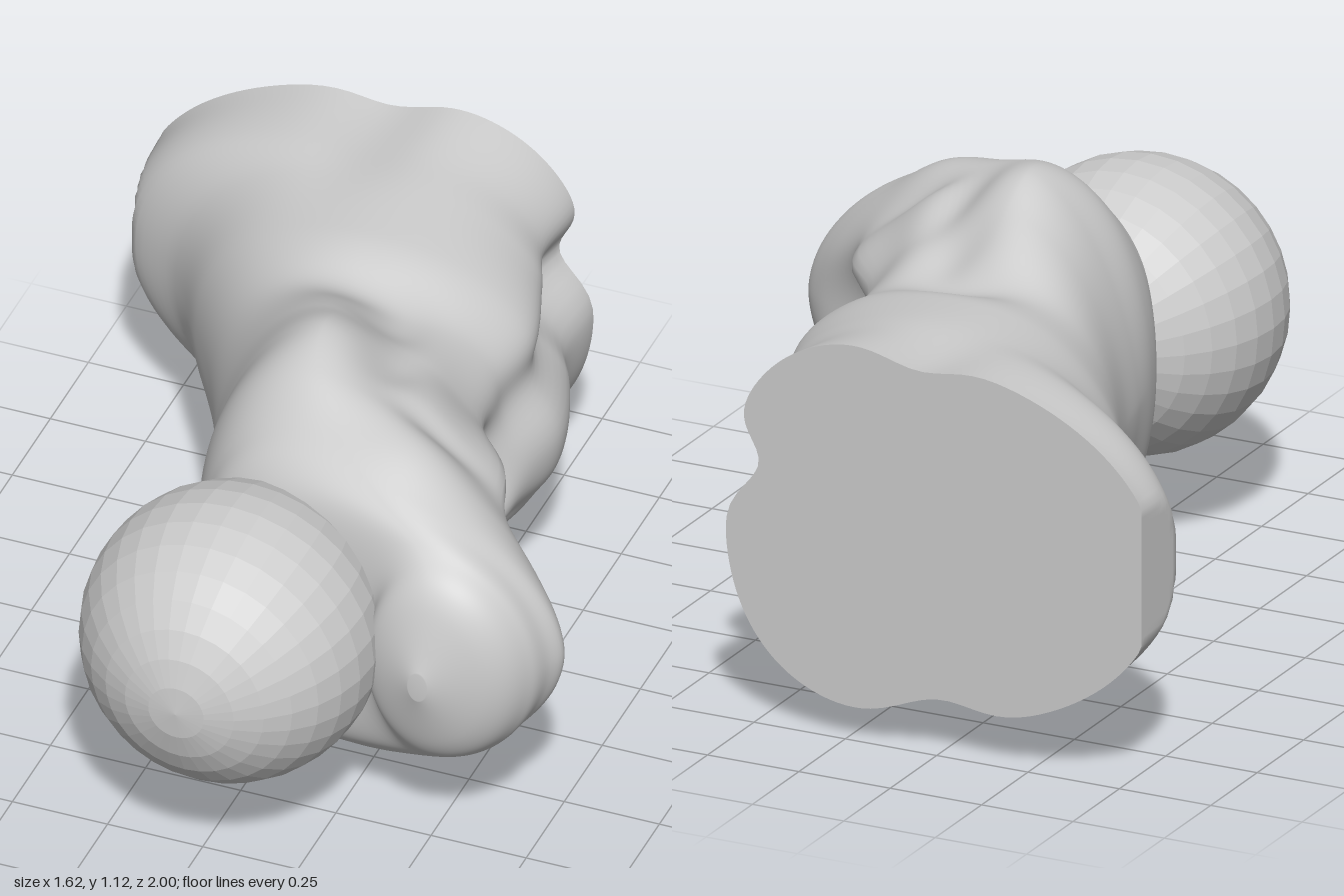
import * as THREE from 'three';

// Stations along the body: z, then left x, right x, ridge x, half height, left roundness, right roundness
const STATIONS = [
  [-1.0, -0.86, 0.33, -0.1, 0.48, 0.95, 0.85],
  [-0.82, -0.82, 0.33, -0.12, 0.46, 0.95, 0.85],
  [-0.7, -0.66, 0.39, -0.1, 0.45, 0.95, 0.9],
  [-0.5, -0.52, 0.45, -0.05, 0.43, 0.9, 0.9],
  [-0.3, -0.4, 0.42, 0.0, 0.42, 0.9, 0.95],
  [-0.1, -0.31, 0.44, 0.03, 0.51, 1.1, 1.1],
  [0.05, -0.27, 0.57, 0.04, 0.56, 1.2, 1.25],
  [0.2, -0.23, 0.64, 0.08, 0.53, 0.98, 1.15],
  [0.32, -0.18, 0.76, 0.18, 0.46, 0.85, 1.12],
  [0.4, -0.12, 0.81, 0.27, 0.41, 0.75, 1.1],
  [0.45, -0.01, 0.79, 0.36, 0.37, 0.72, 1.05],
  [0.51, 0.3, 0.77, 0.48, 0.31, 0.85, 1],
  [0.6, 0.38, 0.69, 0.53, 0.21, 1, 1],
  [0.655, 0.5, 0.55, 0.525, 0.04, 1, 1],
];
const MID = 0.56;

// Hollows and swellings: centre, radii, push, edge sharpness
const DENTS = [
  [[0.54, MID, 0.02], [0.4, 0.17, 0.27], [-0.2, 0, 0], 2],      // oval hollow under the head
  [[0.32, 0.68, -0.75], [0.25, 0.09, 0.5], [-0.11, 0, 0], 1],   // upper neck groove
  [[0.4, 0.33, -0.3], [0.2, 0.06, 0.2], [-0.03, 0, 0], 1],      // lower neck groove
  [[-0.2, 1.05, -1], [0.12, 0.3, 0.3], [0, -0.04, 0], 1],       // flutes on the neck
  [[-0.25, 0.08, -1], [0.14, 0.3, 0.35], [0, 0.06, 0], 1],
];
// Paired side features, mirrored about the centre height
for (const s of [1, -1]) {
  const y = (d) => MID + s * d;
  DENTS.push(
    [[0.02, y(0.42), -0.33], [0.15, 0.25, 0.09], [0, -0.04 * s, 0], 1],   // ear hollow
    [[0.12, y(0.45), -0.18], [0.1, 0.25, 0.13], [0, -0.06 * s, 0], 1],    // ear channel
    [[0.2, y(0.42), 0.03], [0.08, 0.25, 0.13], [0, -0.06 * s, 0], 1],     // ear slot
    [[0.36, y(0.36), 0.17], [0.12, 0.15, 0.05], [0, -0.03 * s, 0], 1],    // mouth corner
    [[0.47, y(0.24), 0.02], [0.15, 0.08, 0.22], [0.04, 0, 0], 1],         // jaw rim
    [[0.38, y(0.38), 0.3], [0.13, 0.12, 0.09], [0, 0.025 * s, 0], 1],     // lip
  );
}

const stationCurve = new THREE.CubicInterpolant(
  STATIONS.map((s) => s[0]), STATIONS.flatMap((s) => s.slice(1)), 6);
const power = (v, p) => Math.sign(v) * Math.abs(v) ** p;

function surfacePoint(z, angle) {
  const [x0, x1, ridge, h, leftRound, rightRound] = stationCurve.evaluate(z);
  const onRight = Math.cos(angle) > 0;
  const p = onRight ? rightRound : leftRound;
  const reach = onRight ? x1 - ridge : ridge - x0;
  const base = [ridge + power(Math.cos(angle), p) * reach, MID + h * power(Math.sin(angle), p), z];
  const out = new THREE.Vector3(...base);
  for (const [centre, radii, push, sharpness] of DENTS) {
    const d = base.reduce((sum, v, i) => sum + ((v - centre[i]) / radii[i]) ** 2, 0);
    out.addScaledVector(new THREE.Vector3(...push), Math.exp(-(d ** sharpness)));
  }
  // The shoulder side is cut flat
  out.x = THREE.MathUtils.clamp(out.x, -0.81, 0.81);
  return out;
}

function loftGeometry(rows, cols) {
  const pos = [], index = [];
  for (let i = 0; i <= rows; i++) {
    const z = -1 + 1.655 * (1 - (1 - i / rows) ** 1.5);
    for (let j = 0; j < cols; j++) pos.push(...surfacePoint(z, (j / cols) * Math.PI * 2).toArray());
  }
  for (let i = 0; i < rows; i++) {
    for (let j = 0; j < cols; j++) {
      const k = (j + 1) % cols;
      const a = i * cols + j, b = i * cols + k, c = a + cols, d = b + cols;
      index.push(a, b, c, b, d, c);
    }
  }
  // Close the muzzle tip
  const tip = pos.length / 3;
  pos.push(0.525, MID, 0.657);
  for (let j = 0; j < cols; j++) index.push(rows * cols + j, rows * cols + ((j + 1) % cols), tip);
  const g = new THREE.BufferGeometry();
  g.setAttribute('position', new THREE.Float32BufferAttribute(pos, 3));
  g.setIndex(index);
  g.computeVertexNormals();
  return g;
}

export function createModel() {
  const group = new THREE.Group();
  const add = (name, geometry, options = {}) => {
    const mesh = new THREE.Mesh(geometry, new THREE.MeshStandardMaterial({ color: 0xcccccc, ...options }));
    mesh.name = name;
    group.add(mesh);
    return mesh;
  };

  const cols = 140;
  add('headAndNeck', loftGeometry(130, cols));

  // Flat cut at the back of the neck
  const rim = Array.from({ length: cols }, (_, j) => {
    const p = surfacePoint(-1, (j / cols) * Math.PI * 2);
    return new THREE.Vector2(p.x, p.y);
  });
  const cut = add('neckCut', new THREE.ShapeGeometry(new THREE.Shape(rim)), { side: THREE.DoubleSide });
  cut.position.z = -1;

  // Faceted ball with its poles facing front and back
  const ball = add('ball', new THREE.SphereGeometry(0.374, 32, 16).rotateX(Math.PI / 2), { flatShading: true });
  ball.position.set(0.027, 0.578, 0.626);

  return group;
}
